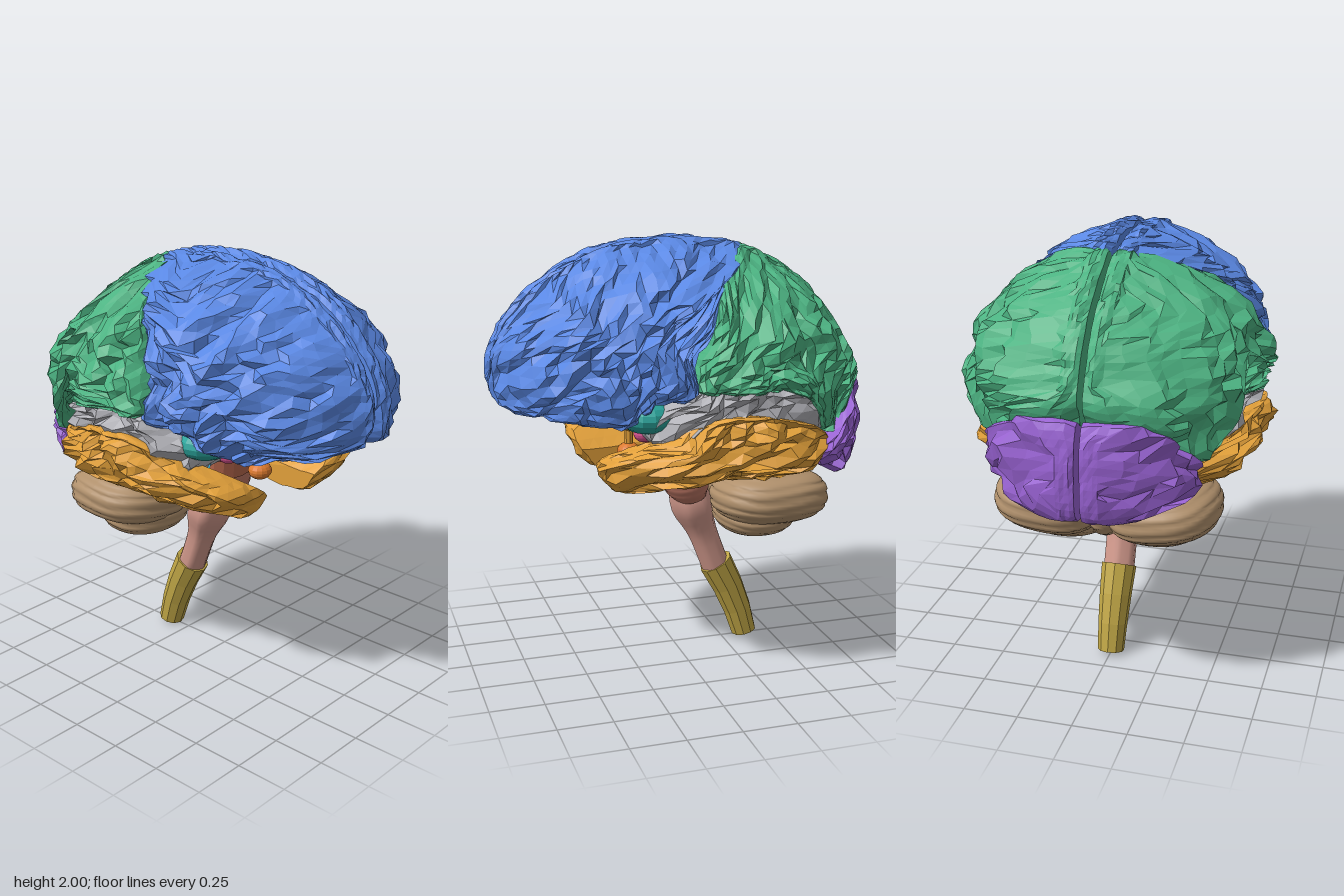
import * as THREE from 'three';

const mat = (color, flat = true) =>
  new THREE.MeshStandardMaterial({ color, flatShading: flat, roughness: 0.8 });

// Half width and crown height of the cerebrum along z
const dome = t => Math.sqrt(Math.max(0, 1 - Math.abs(t) ** 2.2));
const width = z => 0.68 * dome((z + 0.15) / (z < -0.15 ? 0.735 : 1.03));
const crown = z => 1.3 + 0.7 * dome((z - 0.02) / (z < 0.02 ? 0.86 : 0.88));

// Points [z, y] along the crown, from angle a to angle b (0 is the front)
const crownArc = (a, b, n) => Array.from({ length: n + 1 }, (_, i) => {
  const z = 0.02 + 0.86 * Math.cos(a + (b - a) * i / n);
  return [z, crown(z)];
});

function halfWidth(z, y, mid, fall) {
  const t = y > mid ? (y - mid) / (Math.max(crown(z), mid + 0.1) - mid) : (mid - y) / fall;
  return width(z) * Math.max(0, 1 - t * t) ** (y > mid ? 0.58 : 0.5);
}

// Repeatable jitter in -1..1, and winding grooves in 0..1
function jitter(a, b, c, k) {
  const s = Math.sin(Math.round(a * 99) * 1.27 + Math.round(b * 99) * 3.117 + Math.round(c * 99) * 7.43 + k * 5.1) * 4375.85;
  return (s - Math.floor(s)) * 2 - 1;
}
function groove(z, y, s) {
  const a = Math.abs(Math.sin(11 * z + 2.2 * Math.sin(6 * y + s) + 4 * y));
  const b = Math.abs(Math.sin(9 * y + 2.5 * Math.sin(7 * z + 1 + s) - 3 * z));
  return Math.max((1 - a) ** 2, 0.8 * (1 - b) ** 2);
}

// A lobe: a box whose square side is mapped to a (z, y) outline, starting at the
// front and running upwards, and whose thickness spans medial to lateral surface
function lobe(side, name, color, n, center, outline, { mid = 1.4, fall = 0.6, scale = 1, round = 0.06, medial = () => 0.012 }) {
  const geo = new THREE.BoxGeometry(2, 2, 2, 4, n, n), p = geo.attributes.position;
  const curve = new THREE.CatmullRomCurve3(outline.map(([z, y]) => new THREE.Vector3(0, y, z)), true);
  const [cz, cy] = center, q = new THREE.Vector3();
  for (let i = 0; i < p.count; i++) {
    const bx = p.getX(i), by = p.getY(i), bz = p.getZ(i);
    const r0 = Math.max(Math.abs(by), Math.abs(bz));
    let turn = 0;
    if (r0 > 1e-6) {
      turn = Math.abs(bz) >= Math.abs(by)
        ? by / bz / 8 + (bz < 0 ? 0.5 : 0)
        : 0.25 - bz / by / 8 + (by < 0 ? 0.5 : 0);
    }
    curve.getPointAt((turn + 1) % 1, q);
    const r = 1 - (1 - r0) ** 1.3;
    const f = (side * bx + 1) / 2;
    let z = cz + (q.z - cz) * r, y = cy + (q.y - cy) * r;
    const med = medial(y);
    let lat = halfWidth(z, y, mid, fall) * scale * (1 - round * r ** 8);
    lat += 0.012 - 0.085 * groove(z, y, side * 0.6) + 0.02 * jitter(bx, by, bz, 1);
    lat = Math.max(lat, med + 0.08);
    // grooves notch the rim, and its two edges are rounded off
    const rim = (0.05 * groove(z + 0.6 * f, y + 0.4 * f, side) - 0.012 + 0.012 * jitter(bx, by, bz, 4)
      + 0.045 * (1 - f) ** 4 + 0.02 * f ** 4) * r ** 3;
    z += (cz - z) * rim + 0.018 * f * jitter(bx, by, bz, 2) * (1 - r0);
    y += (cy - y) * rim + 0.018 * f * jitter(bx, by, bz, 3) * (1 - r0);
    p.setXYZ(i, side * (med + (lat - med) * f), y, z);
  }
  geo.computeVertexNormals();
  const mesh = new THREE.Mesh(geo, mat(color));
  mesh.name = name;
  return mesh;
}

// Ellipsoid, optionally squared off and ringed with fine horizontal folds
function blob(name, color, [x, y, z], [rx, ry, rz], { power = 1, folds = 0, w = 14, h = 10 } = {}) {
  const geo = new THREE.SphereGeometry(1, w, h), p = geo.attributes.position;
  const sq = v => Math.sign(v) * Math.abs(v) ** power;
  for (let i = 0; i < p.count; i++) {
    const a = p.getX(i), b = p.getY(i), c = p.getZ(i);
    const k = 1 - folds * Math.abs(Math.sin(b * 10 + 1.2 * a + 0.6 * Math.sin(5 * c))) ** 8;
    p.setXYZ(i, sq(a) * rx * k, sq(b) * ry, sq(c) * rz * k);
  }
  geo.computeVertexNormals();
  const mesh = new THREE.Mesh(geo, mat(color, !folds));
  mesh.name = name;
  mesh.position.set(x, y, z);
  return mesh;
}

// Stem segment: section(t) gives [y, z, half width, half depth], t from 0 (bottom) to 1
function stem(name, color, sides, k, section, bump = 0, flat = true) {
  const geo = new THREE.CylinderGeometry(1, 1, 1, sides, k), p = geo.attributes.position;
  for (let i = 0; i < p.count; i++) {
    const t = p.getY(i) + 0.5, [y, z, rx, rd] = section(t);
    const lo = section(Math.max(0, t - 0.05)), hi = section(Math.min(1, t + 0.05));
    const len = Math.hypot(hi[0] - lo[0], hi[1] - lo[1]);
    const s = 1 + bump * Math.cos(6 * Math.atan2(p.getX(i), p.getZ(i)));
    const d = p.getZ(i) * rd * s;
    p.setXYZ(i, p.getX(i) * rx * s, y - d * (hi[1] - lo[1]) / len, z + d * (hi[0] - lo[0]) / len);
  }
  geo.computeVertexNormals();
  const mesh = new THREE.Mesh(geo, mat(color, flat));
  mesh.name = name;
  return mesh;
}

function tube(name, color, radius, ...pts) {
  const curve = new THREE.CatmullRomCurve3(pts.map(v => new THREE.Vector3(...v)));
  const mesh = new THREE.Mesh(new THREE.TubeGeometry(curve, 18, radius, 8), mat(color));
  mesh.name = name;
  return mesh;
}

function hemisphere(s) {
  const half = new THREE.Group();
  half.name = s > 0 ? 'left hemisphere' : 'right hemisphere';
  const frontal = [...crownArc(0, 1.98, 10), [-0.12, 1.82], [0, 1.62], [0.07, 1.52], [0.08, 1.37],
    [0.25, 1.31], [0.38, 1.21], [0.62, 1.24], [0.84, 1.28]];
  const parietal = [[0.09, 1.4], [0.01, 1.63], [-0.11, 1.83], ...crownArc(1.96, 3, 6),
    [-0.74, 1.25], [-0.6, 1.12], [-0.42, 1.34], [-0.05, 1.37]];
  const occipital = [[-0.57, 1.04], [-0.73, 1.28], [-0.83, 1.36], [-0.885, 1.12], [-0.84, 0.9], [-0.6, 0.95]];
  const temporal = [[0.45, 1.03], [0.2, 1.17], [0.05, 1.25], [-0.15, 1.28], [-0.55, 1.17], [-0.64, 1.05],
    [-0.5, 0.93], [0, 0.94], [0.15, 0.87], [0.35, 0.88]];
  const insula = [[0.25, 1.16], [0.2, 1.31], [0, 1.41], [-0.4, 1.41], [-0.62, 1.15], [-0.2, 1]];
  half.add(
    lobe(s, 'frontal lobe', 0x5a88e4, 22, [0.34, 1.58], frontal, { fall: 0.34, scale: 0.96 }),
    lobe(s, 'parietal lobe', 0x4cb382, 20, [-0.38, 1.56], parietal, {}),
    lobe(s, 'occipital lobe', 0x9862d2, 9, [-0.74, 1.1], occipital, { mid: 1.3, round: 0.12 }),
    lobe(s, 'temporal lobe', 0xe2a03a, 15, [-0.08, 1.07], temporal, {
      mid: 1.2, fall: 0.37, round: 0.14, medial: y => 0.17 + 1.37 * Math.max(0, y - 0.98),
    }),
    lobe(s, 'insula', 0xb2b2b8, 14, [-0.15, 1.23], insula, { scale: 0.93, medial: () => 0.04 }),
    // Inner structures
    blob('straight gyrus', 0xb2b2b8, [s * 0.12, 1.23, 0.38], [0.1, 0.05, 0.18]),
    blob('basal ganglion', 0x2aa39a, [s * 0.38, 1.26, 0.24], [0.15, 0.08, 0.13]),
    blob('amygdala', 0xd0508c, [s * 0.2, 1.13, 0.2], [0.05, 0.04, 0.05]),
    tube('hippocampus', 0x3fb4dc, 0.045, [s * 0.3, 1.1, 0.22], [s * 0.27, 1.09, 0], [s * 0.25, 1.14, -0.3]),
  );
  return half;
}

export function createModel() {
  const model = new THREE.Group();
  model.name = 'brain';
  const tan = 0xb0906c, gold = 0xe2a03a;

  // Cerebral and cerebellar halves
  for (const s of [1, -1]) {
    const upper = blob('cerebellar hemisphere', tan, [s * 0.265, 0.81, -0.385], [0.26, 0.13, 0.27],
      { power: 0.82, folds: 0.035, w: 40, h: 48 });
    upper.rotation.z = s * 0.12;
    model.add(
      hemisphere(s),
      upper,
      blob('lower cerebellar lobule', tan, [s * 0.21, 0.72, -0.33], [0.22, 0.105, 0.19], { power: 0.9, folds: 0.035, w: 32, h: 36 }),
    );
  }
  model.add(blob('cerebellar vermis', tan, [0, 0.8, -0.36], [0.1, 0.15, 0.21], { folds: 0.05, w: 24, h: 36 }));

  // Arched band joining the hemispheres
  model.add(
    tube('front callosal arch', 0x3fb4dc, 0.035, [0, 1.27, 0.3], [0, 1.4, 0.34], [0, 1.49, 0.2], [0, 1.52, -0.1]),
    tube('rear callosal arch', tan, 0.035, [0, 1.52, -0.1], [0, 1.5, -0.35], [0, 1.4, -0.52], [0, 1.28, -0.45]),
  );

  // Central parts above the stem
  model.add(
    blob('hypothalamus', gold, [0, 1.17, 0.2], [0.075, 0.075, 0.1]),
    tube('pituitary stalk', gold, 0.022, [0, 1.13, 0.22], [0, 1.01, 0.22]),
    blob('pituitary gland', 0xdd7a2e, [0, 1, 0.22], [0.058, 0.042, 0.055]),
    blob('thalamus', 0xb2b2b8, [0, 1.27, -0.1], [0.16, 0.12, 0.22]),
    blob('red band', 0xb03038, [0, 1.05, 0.06], [0.13, 0.03, 0.09]),
  );

  // Brain stem: a ridged pons, a medulla swelling near its top, a faceted cord
  model.add(
    stem('midbrain', 0xb5664c, 16, 2, t => [0.95 + 0.25 * t, 0.02 * t, 0.14, 0.11]),
    stem('pons', 0xb97462, 28, 20, t => {
      const b = Math.sin(Math.PI * (0.12 + 0.76 * t)) ** 0.38 * (1 - 0.03 * Math.sin(20 * t) ** 2);
      return [0.76 + 0.24 * t, 0.08 * (t - 1), 0.205 * b, 0.115 * b];
    }, 0, false),
    stem('medulla', 0xcf978a, 24, 10, t => {
      const b = Math.exp(-(((t - 0.8) / 0.24) ** 2));
      return [0.39 + 0.41 * t, -0.215 + 0.155 * t, 0.073 + 0.049 * b, 0.066 + 0.034 * b];
    }, 0.05, false),
    stem('spinal cord', 0xbfa545, 10, 3, t =>
      [0.02 + 0.38 * t, -0.37 + 0.09 * t + 0.063 * t * t, 0.063 + 0.02 * t, 0.062 + 0.022 * t]),
  );
  return model;
}
